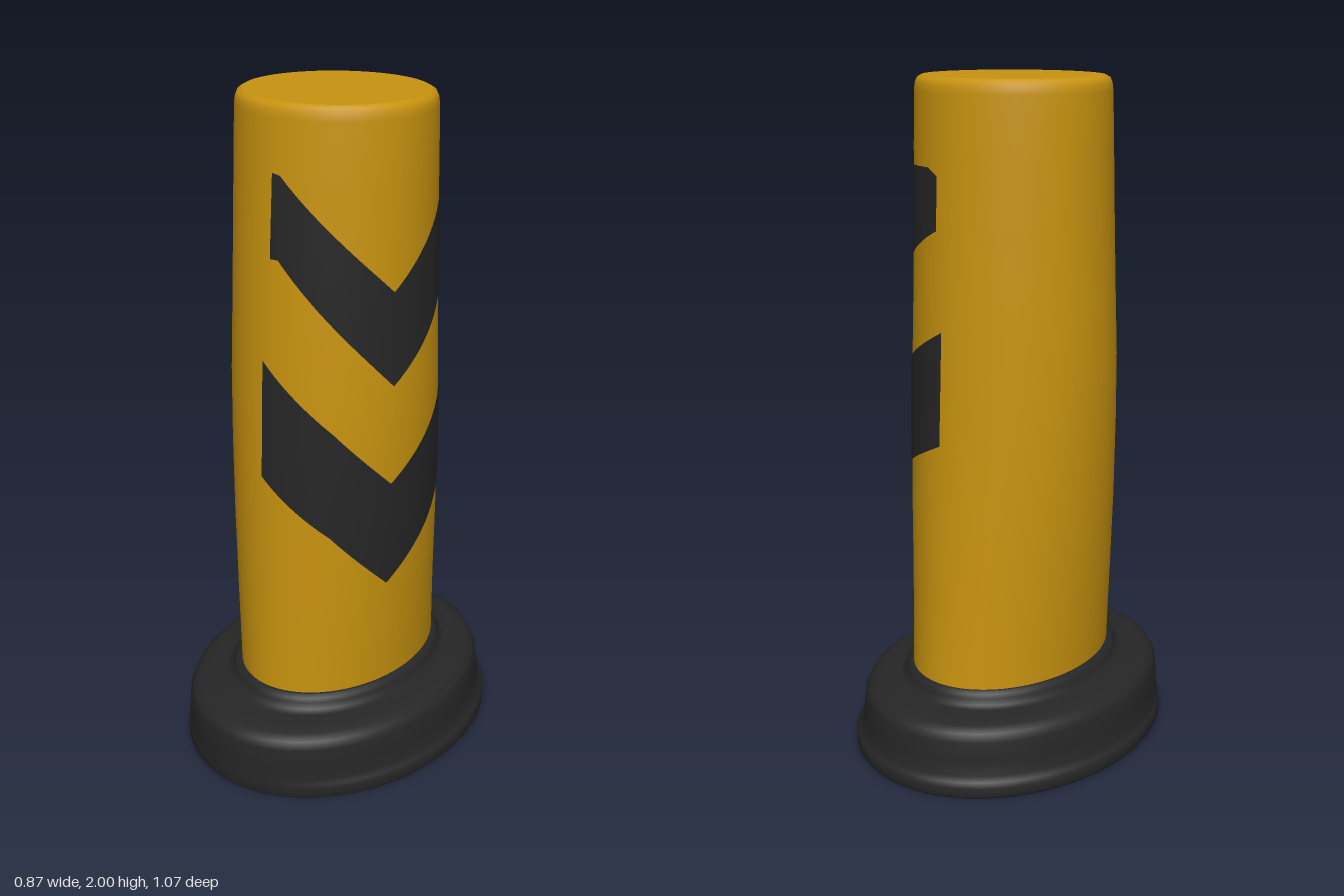
import * as THREE from 'three';

const yellow = new THREE.MeshStandardMaterial({ color: 0xc8930f });
yellow.name = 'safety yellow';
const black = new THREE.MeshStandardMaterial({ color: 0x262626 });
black.name = 'rubber black';

// Column cross-sections: y, half width, front z, back z
const column = [
  [0.2, 0.26, 0.357, -0.35], [0.25, 0.262, 0.355, -0.345], [0.5, 0.275, 0.35, -0.328],
  [0.75, 0.288, 0.344, -0.315], [1.0, 0.295, 0.336, -0.3], [1.2, 0.297, 0.328, -0.291],
  [1.4, 0.291, 0.318, -0.283], [1.6, 0.287, 0.307, -0.275], [1.8, 0.286, 0.294, -0.268],
  [1.96, 0.284, 0.284, -0.262], [1.98, 0.281, 0.281, -0.259], [1.993, 0.275, 0.275, -0.253],
  [2.0, 0.262, 0.262, -0.24],
];

// Base cross-sections, from the foot flange up to the collar
const base = [
  [0, 0.428, 0.53, -0.525], [0.01, 0.435, 0.535, -0.532], [0.035, 0.435, 0.536, -0.532],
  [0.05, 0.428, 0.536, -0.525], [0.062, 0.414, 0.535, -0.512], [0.11, 0.412, 0.535, -0.509],
  [0.165, 0.405, 0.533, -0.503], [0.188, 0.395, 0.522, -0.492], [0.202, 0.375, 0.498, -0.468],
  [0.207, 0.34, 0.455, -0.43], [0.21, 0.305, 0.41, -0.385], [0.218, 0.292, 0.39, -0.372],
  [0.235, 0.286, 0.381, -0.366], [0.248, 0.28, 0.376, -0.36], [0.255, 0.268, 0.362, -0.35],
];

// Point on an oval section at angle t (0 = front, PI/2 = +x)
function ovalPoint([y, rx, front, back], t, lift = 0) {
  const rz = (front - back) / 2;
  return [(rx + lift) * Math.sin(t), y, (front + back) / 2 + (rz + lift) * Math.cos(t)];
}

function sectionAt(rows, y) {
  const k = Math.max(1, rows.findIndex((r) => r[0] >= y));
  const f = (y - rows[k - 1][0]) / (rows[k][0] - rows[k - 1][0]);
  return rows[k].map((v, n) => THREE.MathUtils.lerp(rows[k - 1][n], v, f));
}

// Surface over a grid of points; columns wrap round when closed
function gridGeometry(cols, rows, closed, pointAt) {
  const pos = [], index = [];
  for (let j = 0; j < rows; j++) for (let i = 0; i < cols; i++) pos.push(...pointAt(i, j));
  for (let j = 0; j < rows - 1; j++) {
    for (let i = 0; i < (closed ? cols : cols - 1); i++) {
      const a = j * cols + i, b = j * cols + (i + 1) % cols;
      index.push(a, b, b + cols, a, b + cols, a + cols);
    }
  }
  const g = new THREE.BufferGeometry();
  g.setAttribute('position', new THREE.Float32BufferAttribute(pos, 3));
  g.setIndex(index);
  g.computeVertexNormals();
  return g;
}

const SIDES = 96;
function loft(rows) {
  return gridGeometry(SIDES, rows.length, true,
    (i, j) => ovalPoint(rows[j], (i / SIDES) * Math.PI * 2));
}

// Flat oval cap facing up or down
function cap(row, up) {
  const mid = (row[2] + row[3]) / 2;
  const g = new THREE.CircleGeometry(1, SIDES);
  g.scale(row[1], (row[2] - row[3]) / 2, 1);
  g.rotateX(up ? -Math.PI / 2 : Math.PI / 2);
  g.translate(0, row[0], mid);
  return g;
}

// Chevron following the column; keys are [angle, lower y, upper y]
function chevron(keys) {
  const STEPS = 14, LEVELS = 9, stations = [];
  for (let k = 0; k < keys.length - 1; k++) {
    for (let s = k ? 1 : 0; s <= STEPS; s++) {
      stations.push(keys[k].map((v, n) => THREE.MathUtils.lerp(v, keys[k + 1][n], s / STEPS)));
    }
  }
  return gridGeometry(stations.length, LEVELS, false, (i, j) => {
    const [t, low, high] = stations[i];
    const y = THREE.MathUtils.lerp(low, high, j / (LEVELS - 1));
    return ovalPoint(sectionAt(column, y), t, 0.003);
  });
}

export function createModel() {
  const model = new THREE.Group();
  model.name = 'trafficBollard';
  const add = (name, geometry, material) => {
    const mesh = new THREE.Mesh(geometry, material);
    mesh.name = name;
    model.add(mesh);
  };

  // Rubber foot
  add('base', loft(base), black);
  add('baseTop', cap(base[base.length - 1], true), black);
  add('baseUnderside', cap(base[0], false), black);

  // Oval post, tapering from side to side into a round top
  add('post', loft(column), yellow);
  add('postTop', cap(column[column.length - 1], true), yellow);

  // Chevrons wrap the +x half of the post
  add('upperChevron', chevron([
    [0.08, 1.59, 1.82], [0.17, 1.59, 1.815], [1.3, 1.23, 1.5],
    [2.26, 1.47, 1.755], [2.9, 1.57, 1.76], [3.04, 1.59, 1.74],
  ]), black);
  add('lowerChevron', chevron([
    [0.01, 0.95, 1.3], [0.72, 0.785, 1.11], [1.3, 0.6, 0.93],
    [2.24, 0.85, 1.165], [3.13, 0.98, 1.31],
  ]), black);

  return model;
}
